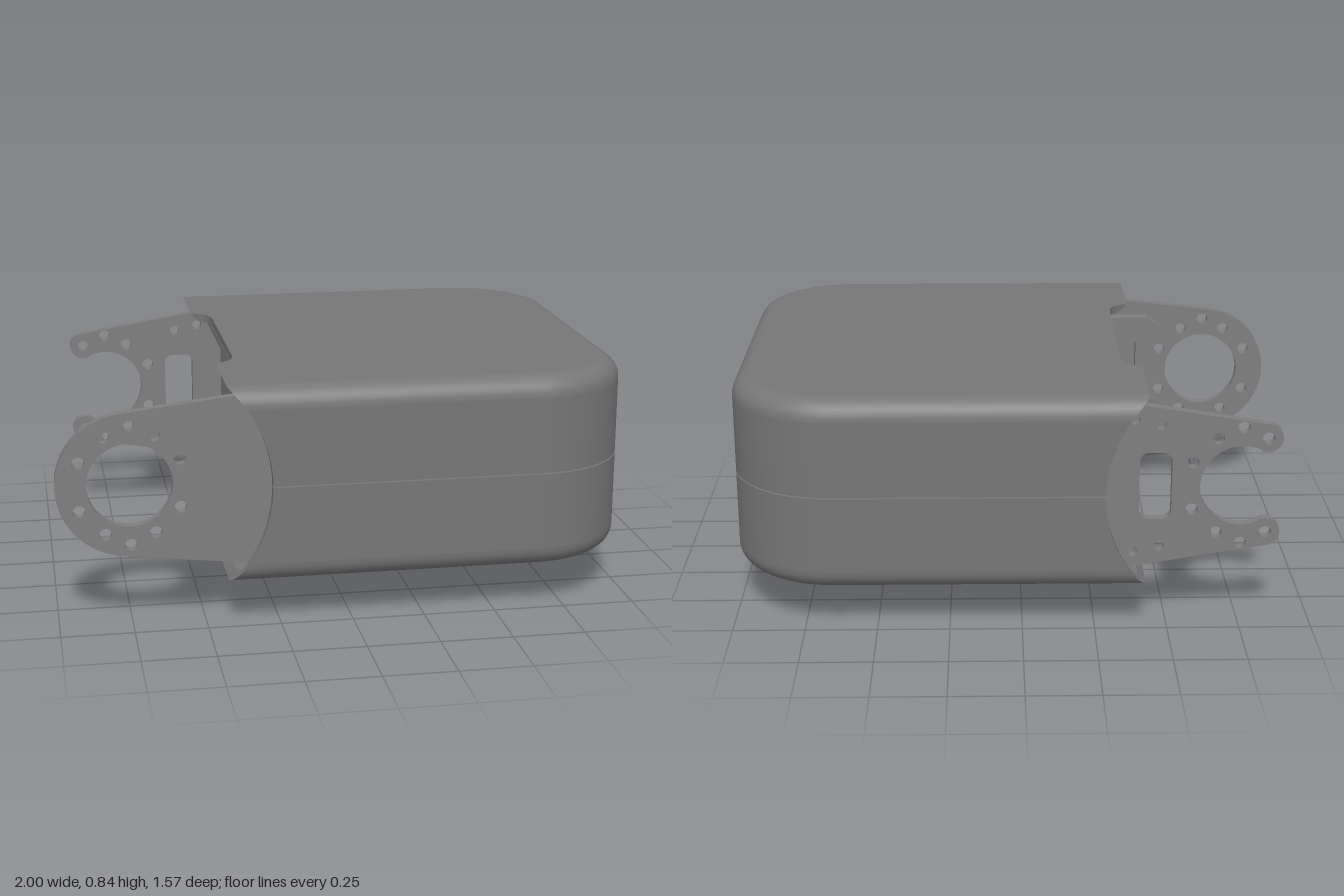
import * as THREE from 'three';

const SHELL = new THREE.MeshStandardMaterial({ color: 0x767676, side: THREE.DoubleSide });
const FRAME = new THREE.MeshStandardMaterial({ color: 0x7e7e7e, side: THREE.DoubleSide });
const MID = 0.5;                       // height of the seam and of the pivot axis
const PIVOT = -0.75, CUT_R = 0.47;     // cylindrical cut through the open end
const PORT_R = 0.265, WALL = 0.03, FILLET = 0.07;

function add(parent, geometry, material, name, x = 0, y = 0, z = 0) {
  const mesh = new THREE.Mesh(geometry, material);
  mesh.name = name;
  mesh.position.set(x, y, z);
  parent.add(mesh);
}

// Smooth surface through a grid of points
function sheet(rows) {
  const n = rows[0].length, index = [];
  for (let r = 0; r + 1 < rows.length; r++) {
    for (let c = 0; c + 1 < n; c++) {
      const a = r * n + c;
      index.push(a, a + 1, a + n, a + 1, a + n + 1, a + n);
    }
  }
  const g = new THREE.BufferGeometry();
  g.setAttribute('position', new THREE.Float32BufferAttribute(rows.flat(2), 3));
  g.setIndex(index);
  g.computeVertexNormals();
  return g;
}

const extrude = (shape, depth) =>
  new THREE.ExtrudeGeometry(shape, { depth, bevelEnabled: false, curveSegments: 24 });
// Shape drawn in (z, y), extruded towards -x
const extrudeX = (shape, depth) => extrude(shape, depth).rotateY(-Math.PI / 2);

function punch(shape, list, r) {
  for (const [x, y] of list) shape.holes.push(new THREE.Path().absarc(x, y, r, 0, Math.PI * 2, true));
}

function roundRect(path, x0, y0, x1, y1, r) {
  path.absarc(x1 - r, y0 + r, r, -Math.PI / 2, 0);
  path.absarc(x1 - r, y1 - r, r, 0, Math.PI / 2);
  path.absarc(x0 + r, y1 - r, r, Math.PI / 2, Math.PI);
  path.absarc(x0 + r, y0 + r, r, Math.PI, Math.PI * 1.5);
  path.closePath();
  return path;
}

const cutX = (h) => PIVOT + Math.sqrt(CUT_R ** 2 - h ** 2);

// One wall row at height h from the seam, inset by d: open end, round corner, port edge
function wallRow(h, d, sy, sz) {
  const pts = [], start = cutX(h), r = 0.35 - d;
  const put = (x, z) => pts.push([x, MID + sy * h, sz * z]);
  for (let i = 0; i < 6; i++) put(start + (0.65 - start) * i / 6, 0.785 - d);
  for (let i = 0; i <= 16; i++) {
    const a = Math.PI / 2 * (1 - i / 16);
    put(0.65 + r * Math.cos(a), 0.435 + r * Math.sin(a));
  }
  const edge = Math.sqrt(Math.max(0, PORT_R ** 2 - h ** 2));
  for (let i = 1; i <= 4; i++) put(1 - d, 0.435 + (edge - 0.435) * i / 4);
  return pts;
}

// Flat cover with a shallow notch; its open end is sheared to follow the cylindrical cut
function cover(sy) {
  const x0 = cutX(0.34), z = 0.785 - FILLET, r = 0.35 - FILLET;
  const s = new THREE.Shape();
  s.moveTo(x0, -z);
  s.lineTo(0.65, -z);
  s.absarc(0.65, -0.435, r, -Math.PI / 2, 0);
  s.absarc(0.65, 0.435, r, 0, Math.PI / 2);
  s.lineTo(x0, z);
  s.lineTo(x0, 0.4);
  s.quadraticCurveTo(-0.36, 0.39, -0.355, 0.31);
  s.lineTo(-0.355, -0.31);
  s.quadraticCurveTo(-0.36, -0.39, x0, -0.4);
  s.closePath();
  const g = extrude(s, WALL).rotateX(Math.PI / 2).translate(0, sy > 0 ? 0.84 : 0.16 + WALL, 0);
  const p = g.attributes.position;
  for (let i = 0; i < p.count; i++) p.setX(i, Math.max(p.getX(i), cutX(p.getY(i) - MID)));
  g.computeVertexNormals();
  return g;
}

function shellHalf(sy, name) {
  const group = new THREE.Group();
  group.name = name;
  const spec = [];                       // [outer height, outer inset, inner height, inner inset]
  for (let i = 0; i <= 14; i++) {
    const h = Math.max(0.0025, PORT_R * Math.sin(i / 14 * Math.PI / 2));
    spec.push([h, 0, h, WALL]);
  }
  for (let i = 0; i <= 8; i++) {
    const a = i / 8 * Math.PI / 2, ri = FILLET - WALL;
    spec.push([0.27 + FILLET * Math.sin(a), FILLET * (1 - Math.cos(a)),
      0.27 + ri * Math.sin(a), WALL + ri * (1 - Math.cos(a))]);
  }
  for (const sz of [1, -1]) {
    const outer = spec.map((s) => wallRow(s[0], s[1], sy, sz));
    const inner = spec.map((s) => wallRow(s[2], s[3], sy, sz));
    const column = (rows, c) => rows.map((row) => row.at(c));
    add(group, sheet(outer), SHELL, 'outerWall');
    add(group, sheet(inner), SHELL, 'innerWall');
    add(group, sheet([outer[0], inner[0]]), SHELL, 'seamEdge');
    add(group, sheet([column(outer, 0), column(inner, 0)]), SHELL, 'openEndEdge');
    add(group, sheet([column(outer.slice(0, 15), -1), column(inner.slice(0, 15), -1)]), SHELL, 'portEdge');
  }
  add(group, cover(sy), SHELL, 'cover');
  return group;
}

// Bolt circle around the pivot
const bolts = [];
for (const sy of [1, -1]) for (const [x, y] of [[-0.17, 0.085], [-0.085, 0.17], [0, 0.21], [0.085, 0.17], [0.17, 0.085]]) {
  bolts.push([PIVOT + x, MID + sy * y]);
}

function ringArm() {
  const s = new THREE.Shape();
  s.moveTo(-0.25, 0.205);
  s.lineTo(-0.38, 0.205);
  s.absarc(PIVOT, MID, 0.25, -1.68, 1.68, true);
  s.lineTo(-0.38, 0.795);
  s.lineTo(-0.25, 0.795);
  s.closePath();
  punch(s, [[PIVOT, MID]], 0.145);
  punch(s, bolts, 0.021);
  return extrude(s, 0.035);
}

function clawArm() {
  const s = new THREE.Shape(), a = 2.034, tip = 0.05;
  s.moveTo(-0.25, 0.205);
  s.lineTo(-0.38, 0.205);
  s.absarc(PIVOT - 0.085, MID - 0.17, tip, -1.83, Math.PI - a, true);
  s.absarc(PIVOT, MID, 0.143, -a, a, false);
  s.absarc(PIVOT - 0.085, MID + 0.17, tip, a - Math.PI, 1.83, true);
  s.lineTo(-0.38, 0.795);
  s.lineTo(-0.25, 0.795);
  s.closePath();
  s.holes.push(roundRect(new THREE.Path(), -0.51, 0.38, -0.4, 0.62, 0.03));
  punch(s, bolts.filter(([x]) => x > -0.9), 0.021);
  punch(s, [[-0.47, 0.72], [-0.47, 0.28], [-0.38, 0.74], [-0.38, 0.26]], 0.018);
  return extrude(s, 0.035);
}

// Inner cheek plate, hollowed around the ring, with a window
function cheek() {
  const s = new THREE.Shape();
  s.moveTo(-0.27, 0.27);
  s.lineTo(-0.52, 0.27);
  s.lineTo(-0.58, 0.31);
  s.absarc(PIVOT, MID, 0.24, -0.8, 0.8, false);
  s.lineTo(-0.58, 0.69);
  s.lineTo(-0.52, 0.73);
  s.lineTo(-0.27, 0.73);
  s.closePath();
  s.holes.push(roundRect(new THREE.Path(), -0.48, 0.35, -0.35, 0.65, 0.03));
  return extrude(s, 0.05);
}

// Perforated bulkhead across the open end
function bulkhead() {
  const s = roundRect(new THREE.Shape(), -0.65, 0.22, 0.64, 0.78, 0.04);
  const holes = [[0.05, 0.615], [-0.115, 0.555], [0.115, 0.45], [-0.05, 0.385]];
  for (let i = -2; i <= 2; i++) for (let j = -2; j <= 2; j++) {
    if (Math.max(Math.abs(i), Math.abs(j)) === 2) holes.push([i * 0.085, MID + j * 0.085]);
  }
  punch(s, holes, 0.021);
  // The two outermost holes sit close to the edge, so they are smaller
  punch(s, [[0, 0.76], [0, 0.24]], 0.015);
  return extrudeX(s, 0.025);
}

// Strap handle: a U section running along x
function handle() {
  const s = new THREE.Shape(), r = 0.1, t = 0.035, w = 0.3;
  s.moveTo(-w, 0.175);
  s.lineTo(-w, r);
  s.absarc(-w + r, r, r, Math.PI, Math.PI * 1.5);
  s.absarc(w - r, r, r, -Math.PI / 2, 0);
  s.lineTo(w, 0.175);
  s.lineTo(w - t, 0.175);
  s.absarc(w - r, r, r - t, 0, -Math.PI / 2, true);
  s.absarc(-w + r, r, r - t, -Math.PI / 2, -Math.PI, true);
  s.lineTo(-w + t, 0.175);
  s.closePath();
  return extrudeX(s, 0.71);
}

export function createModel() {
  const model = new THREE.Group();
  model.name = 'housing';
  model.add(shellHalf(1, 'upperShell'), shellHalf(-1, 'lowerShell'));
  add(model, handle(), SHELL, 'handle', 0.465);

  const frame = new THREE.Group();
  frame.name = 'frame';
  model.add(frame);
  add(frame, ringArm(), FRAME, 'ringArm', 0, 0, 0.645);
  add(frame, clawArm(), FRAME, 'clawArm', 0, 0, -0.685);
  add(frame, cheek(), FRAME, 'cheekPlate', 0, 0, 0.595);
  add(frame, bulkhead(), FRAME, 'bulkhead', -0.26);

  // Flanges above and below the bulkhead, with a row of screws each
  for (const sy of [1, -1]) {
    add(frame, new THREE.BoxGeometry(0.07, 0.025, 1.24), FRAME, 'flange', -0.315, MID + sy * 0.285, -0.005);
    for (let i = -3; i <= 3; i++) {
      const screw = new THREE.CylinderGeometry(0.014, 0.014, 0.012, 12).rotateZ(Math.PI / 2);
      add(frame, screw, FRAME, 'screw', -0.29, MID + sy * 0.225, i * 0.17 + 0.04);
    }
  }
  return model;
}
